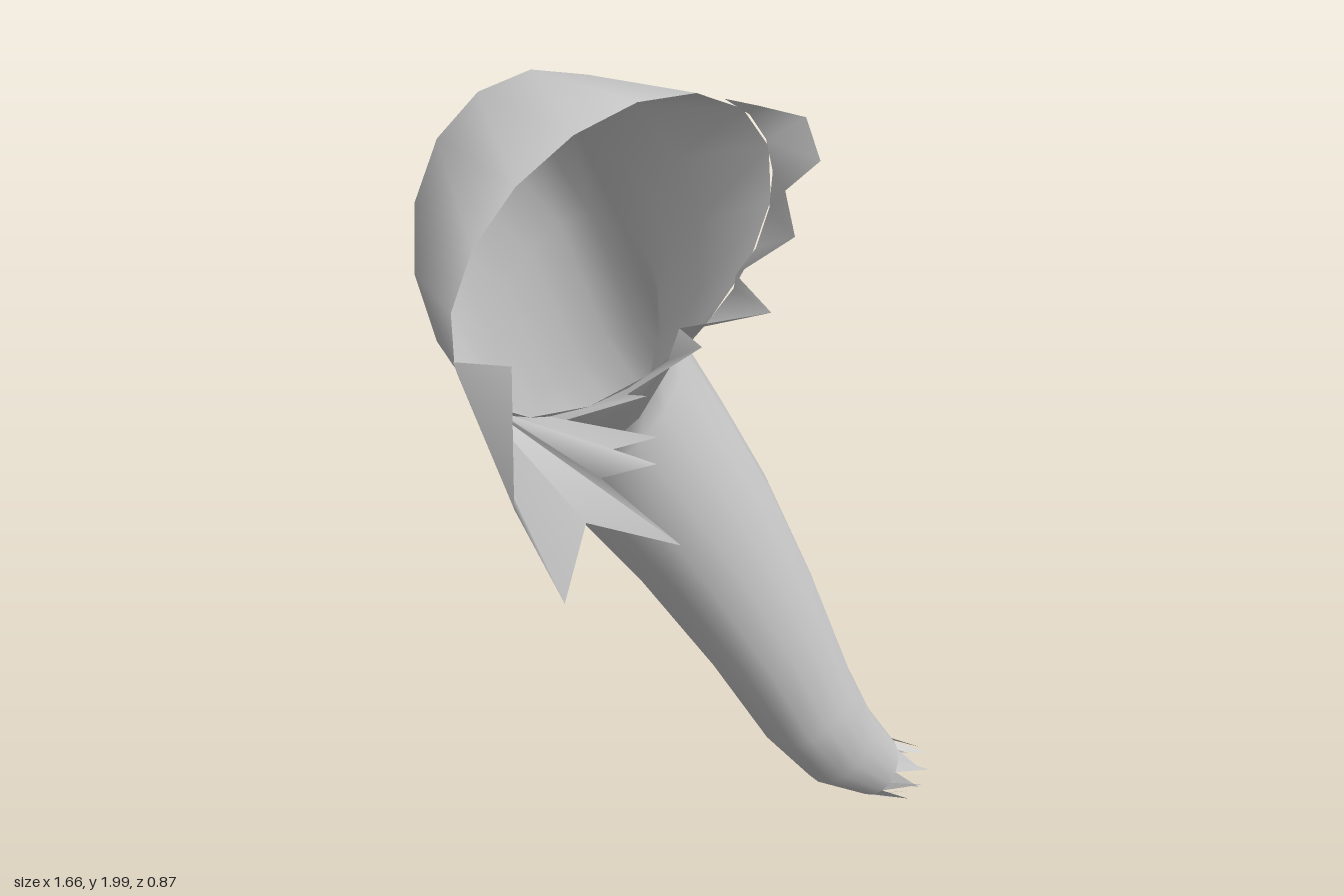
import * as THREE from 'three';

const SIDES = 16;
const V = (p) => new THREE.Vector3(...p);

// Elliptical cross-sections: centre, half-axis across, half-axis towards the inner bend
const rings = [
  [[0.68, 0.13, -0.11], [0.045, 0.06, 0], [0, 0, 0.055]],
  [[0.53, 0.255, -0.12], [0.08, 0.075, 0], [0, 0, 0.085]],
  [[0.425, 0.395, -0.135], [0.115, 0.065, 0], [0, 0, 0.1]],
  [[0.295, 0.645, -0.17], [0.13, 0.09, 0], [0, 0, 0.12]],
  [[0.155, 0.9, -0.225], [0.16, 0.1, 0], [0, 0, 0.14]],
  [[0.02, 1.095, -0.262], [0.18, 0.105, 0], [0, 0, 0.16]],
  [[-0.095, 1.255, -0.28], [0.185, 0.125, -0.01], [0, 0, 0.157]],
  [[-0.2, 1.42, -0.255], [0.195, 0.185, -0.055], [0.05, -0.08, 0.14]],
  [[-0.34, 1.59, -0.165], [0.205, 0.22, -0.05], [0.11, -0.185, 0.16]],
  [[-0.46, 1.69, -0.06], [0.205, 0.23, 0.02], [0.125, -0.2, 0.175]],
  [[-0.465, 1.7, 0.075], [0.235, 0.24, 0.11], [0.12, -0.13, 0.12]],
].map((r) => r.map(V));

const ringPoint = ([c, a, b], t) =>
  c.clone().addScaledVector(a, Math.cos(t)).addScaledVector(b, Math.sin(t));

function surface(points, index) {
  const g = new THREE.BufferGeometry().setFromPoints(points);
  g.setIndex(index);
  g.computeVertexNormals();
  return g;
}

// Smooth bent tube, open at both ends
function tube() {
  const points = [], index = [];
  rings.forEach((r, i) => {
    for (let j = 0; j < SIDES; j++) {
      points.push(ringPoint(r, (j / SIDES) * Math.PI * 2));
      if (i === rings.length - 1) continue;
      const k = (j + 1) % SIDES, p = i * SIDES, q = p + SIDES;
      index.push(p + j, q + j, p + k, p + k, q + j, q + k);
    }
  });
  return surface(points, index);
}

// Torn strip joining an arc of the upper rim to a jagged outer edge
function tornFlap(from, to, edge) {
  const rim = rings[rings.length - 1], points = [], index = [];
  edge.forEach((p, i) => {
    const t = THREE.MathUtils.lerp(from, to, i / (edge.length - 1));
    points.push(ringPoint(rim, THREE.MathUtils.degToRad(t)), V(p));
    if (i) {
      const n = 2 * i;
      index.push(n - 2, n - 1, n, n, n - 1, n + 1);
    }
  });
  return surface(points, index);
}

// Thin shreds around the narrow end
function shreds() {
  const points = [], index = [], r = rings[0];
  const step = (Math.PI * 2) / SIDES;
  for (let j = 0; j < SIDES; j++) {
    const t = j * step;
    const tip = ringPoint(r, t + step / 2).lerp(r[0], 0.25);
    tip.add(j % 2 ? V([0.09, -0.03, 0.05]) : V([0.12, -0.083, 0.01]));
    points.push(ringPoint(r, t), ringPoint(r, t + step), tip);
    index.push(3 * j, 3 * j + 1, 3 * j + 2);
  }
  return surface(points, index);
}

export function createModel() {
  const group = new THREE.Group();
  group.name = 'tornLimb';
  const grey = new THREE.MeshStandardMaterial({ color: 0xcccccc, side: THREE.DoubleSide });
  grey.name = 'plain grey';
  const add = (name, geometry) => {
    const mesh = new THREE.Mesh(geometry, grey);
    mesh.name = name;
    group.add(mesh);
  };

  add('bentLimb', tube());
  add('tipShreds', shreds());

  // Ragged front wall of the opening
  add('frontTornEdge', tornFlap(-10, 150, [
    [-0.23, 1.95, 0.22], [-0.18, 1.93, 0.29], [-0.23, 1.87, 0.36], [-0.28, 1.82, 0.32],
    [-0.31, 1.75, 0.365], [-0.37, 1.68, 0.28], [-0.41, 1.64, 0.39], [-0.48, 1.6, 0.24],
    [-0.54, 1.6, 0.34], [-0.59, 1.5, 0.21], [-0.64, 1.53, 0.3], [-0.65, 1.45, 0.12],
  ]));

  // Ragged flap hanging from the outer corner
  add('hangingFlap', tornFlap(150, 205, [
    [-0.66, 1.47, 0.34], [-0.69, 1.42, 0.22], [-0.7, 1.44, 0.37], [-0.73, 1.4, 0.27],
    [-0.71, 1.31, 0.43], [-0.77, 1.33, 0.27], [-0.83, 1.2, 0.27], [-0.8, 1.33, 0.13],
    [-0.71, 1.55, 0.05],
  ]));
  return group;
}
